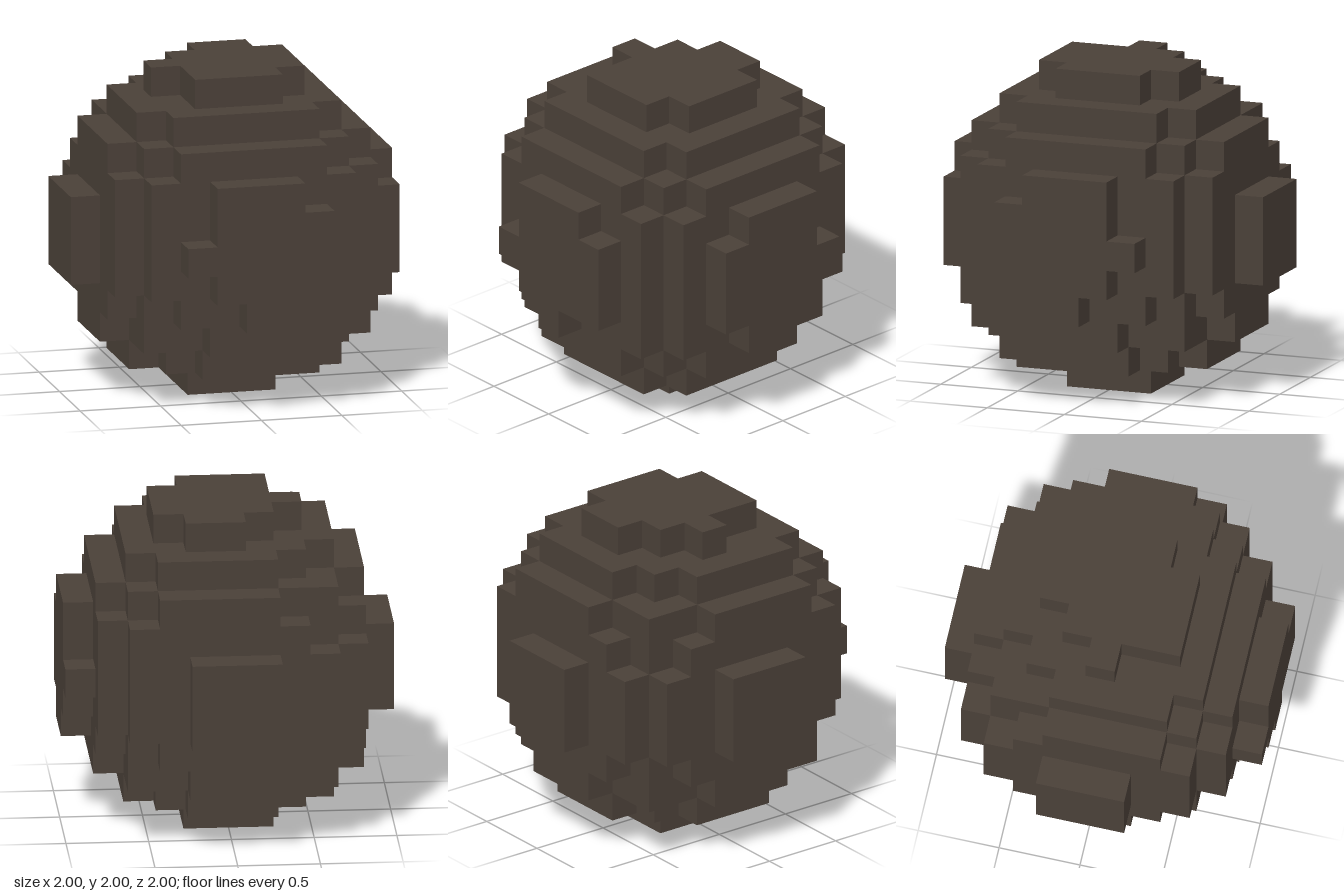
import * as THREE from 'three';
import { mergeGeometries } from 'three/addons/utils/BufferGeometryUtils.js';

const CELL = 2 / 11; // the boulder spans eleven blocks
const HALF = 5;

// A block is solid if it lies in a sphere nudged slightly towards +x +y +z
const OFFSET = 0.11;
const LIMIT = 29.1;
const EXTRA = ['1,5,-2', '5,-2,1']; // two lone blocks on the caps

function isSolid(x, y, z) {
  if (EXTRA.includes(`${x},${y},${z}`)) return true;
  return x * x + y * y + z * z - 2 * OFFSET * (x + y + z) <= LIMIT;
}

// Six outward directions with the rotation that turns a +z plane to face them
const SIDES = [
  { dir: [0, 0, 1], rot: [0, 0] },
  { dir: [0, 0, -1], rot: [0, Math.PI] },
  { dir: [1, 0, 0], rot: [0, Math.PI / 2] },
  { dir: [-1, 0, 0], rot: [0, -Math.PI / 2] },
  { dir: [0, 1, 0], rot: [-Math.PI / 2, 0] },
  { dir: [0, -1, 0], rot: [Math.PI / 2, 0] },
];

// One square face of a block
function blockFace(x, y, z, { dir, rot }) {
  return new THREE.PlaneGeometry(CELL, CELL)
    .rotateX(rot[0])
    .rotateY(rot[1])
    .translate(
      (x + dir[0] / 2) * CELL,
      (y + dir[1] / 2) * CELL + 1,
      (z + dir[2] / 2) * CELL,
    );
}

// Skin of the boulder: only faces that touch open air
function boulderGeometry() {
  const faces = [];
  for (let x = -HALF; x <= HALF; x++) {
    for (let y = -HALF; y <= HALF; y++) {
      for (let z = -HALF; z <= HALF; z++) {
        if (!isSolid(x, y, z)) continue;
        for (const side of SIDES) {
          const [dx, dy, dz] = side.dir;
          if (!isSolid(x + dx, y + dy, z + dz)) faces.push(blockFace(x, y, z, side));
        }
      }
    }
  }
  return mergeGeometries(faces);
}

export function createModel() {
  const stone = new THREE.MeshStandardMaterial({ color: 0x4a4038 });
  stone.name = 'dark brown stone';

  const boulder = new THREE.Mesh(boulderGeometry(), stone);
  boulder.name = 'blockBoulder';

  const model = new THREE.Group();
  model.name = 'boulder';
  model.add(boulder);
  return model;
}
